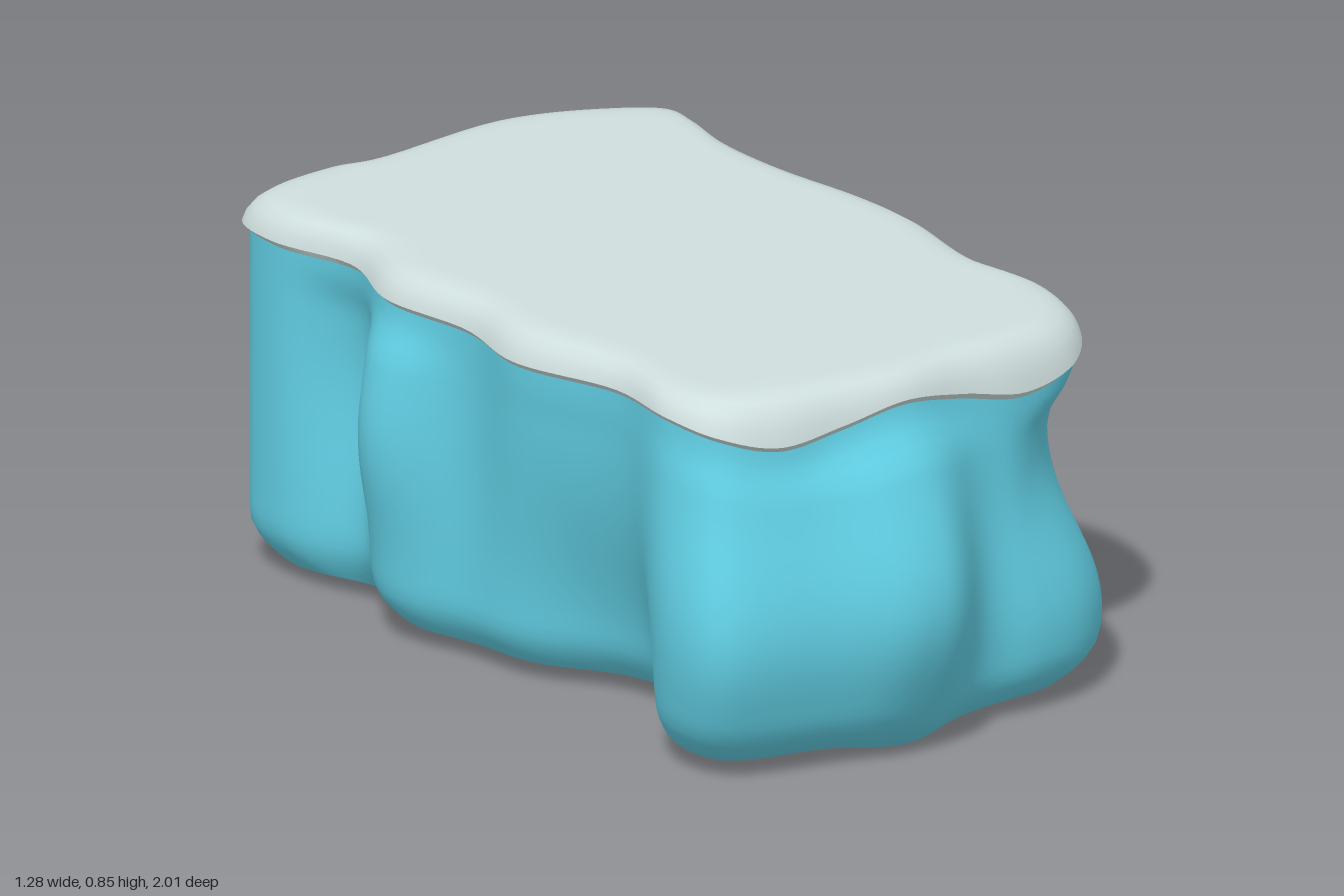
import * as THREE from 'three';

const COLS = 200;

// Rim of the snow cap: x, y, z, running round from the back
const RIM = [
  [-0.53, 0.78, -0.91], [-0.32, 0.79, -0.955], [-0.2, 0.79, -0.94], [0.19, 0.79, -0.975], [0.42, 0.785, -0.9],
  [0.53, 0.78, -0.82], [0.53, 0.78, -0.73], [0.505, 0.775, -0.58], [0.51, 0.78, -0.38], [0.55, 0.79, -0.12],
  [0.555, 0.8, 0.05], [0.515, 0.81, 0.32], [0.545, 0.81, 0.53], [0.51, 0.785, 0.7], [0.43, 0.755, 0.785],
  [0.28, 0.735, 0.82], [0.12, 0.765, 0.815], [-0.04, 0.79, 0.83], [-0.2, 0.765, 0.825], [-0.36, 0.745, 0.81],
  [-0.48, 0.775, 0.75], [-0.525, 0.795, 0.63], [-0.505, 0.79, 0.42], [-0.57, 0.78, 0.13], [-0.545, 0.785, -0.07],
  [-0.577, 0.785, -0.32], [-0.515, 0.785, -0.53], [-0.57, 0.785, -0.75],
].map((p) => new THREE.Vector3(...p));

// Bulges and hollows of the ice: centre x, y, z, push x, z, width, height
const LUMPS = [
  [-0.08, 0.36, 0.82, 0, 0.18, 0.19, 0.32],
  [-0.44, 0.32, 0.8, -0.03, 0.095, 0.22, 0.27],
  [0.32, 0.2, 0.8, 0.02, 0.055, 0.22, 0.22],
  [0.47, 0.54, 0.75, -0.06, -0.03, 0.17, 0.2],
  [-0.53, 0.32, 0.7, -0.055, 0.02, 0.18, 0.3],
  [0.53, 0.17, 0.64, 0.055, 0, 0.16, 0.2],
  [0.53, 0.31, 0.18, 0.115, 0, 0.13, 0.26],
  [0.55, 0.4, 0.02, -0.02, 0, 0.06, 0.35],
  [0.53, 0.46, -0.2, 0.095, 0, 0.16, 0.3],
  [0.51, 0.4, -0.48, -0.015, 0, 0.1, 0.4],
  [0.53, 0.1, -0.62, 0.03, 0, 0.07, 0.1],
  [-0.57, 0.48, -0.31, -0.075, 0, 0.13, 0.26],
  [-0.57, 0.1, -0.32, -0.015, 0, 0.12, 0.16],
  [-0.52, 0.05, 0.28, 0.15, 0, 0.22, 0.38],
  [-0.52, 0.5, -0.58, 0.045, 0, 0.11, 0.25],
  [0.04, 0.35, -0.96, 0, -0.045, 0.25, 0.42],
  [0.3, 0.47, -0.94, 0, 0.075, 0.12, 0.18],
  [-0.32, 0.4, -0.95, 0, 0.02, 0.1, 0.35],
];

// Dips of the lower edge: x, z, depth
const DIPS = [[0, 0.82, 0.04], [-0.48, 0.78, 0.012], [0.48, 0.76, 0.02], [0.52, 0.22, 0.02], [-0.5, -0.9, 0.02], [0.5, -0.88, 0.015]];

const curve = new THREE.CatmullRomCurve3(RIM, true, 'centripetal');
const outline = Array.from({ length: COLS }, (_, i) => curve.getPoint(i / COLS));

const inset = (p, d, y) => new THREE.Vector3(p.x * (1 - d / 0.55), y, p.z * (1 - d / 0.88));

// Closed rings stacked upwards, joined into a smooth skin
function loft(rows) {
  const index = [];
  for (let r = 0; r < rows.length - 1; r++) {
    for (let i = 0; i < COLS; i++) {
      const a = r * COLS + i, b = r * COLS + (i + 1) % COLS;
      const c = b + COLS, d = a + COLS;
      index.push(a, d, c, a, c, b);
    }
  }
  const geometry = new THREE.BufferGeometry().setFromPoints(rows.flat());
  geometry.setIndex(index);
  geometry.computeVertexNormals();
  return geometry;
}

// Point on the ice wall at height fraction t
function icePoint(rim, t) {
  let floor = 0.043;
  for (const [x, z, depth] of DIPS) {
    floor -= depth * Math.exp(-(((rim.x - x) / 0.2) ** 2) - ((rim.z - z) / 0.15) ** 2);
  }
  const y = THREE.MathUtils.lerp(floor, rim.y - 0.012, t);
  const round = 0.055 * Math.max(0, 1 - t / 0.14) ** 2;
  const p = inset(rim, 0.012 + round, y);
  const fade = 1 - THREE.MathUtils.smoothstep(t, 0.84, 1);
  for (const [x, ly, z, dx, dz, w, h] of LUMPS) {
    const along = Math.hypot(rim.x - x, rim.z - z) / w;
    const k = fade * Math.exp(-(along ** 2.6) - ((y - ly) / h) ** 2);
    p.x += dx * k;
    p.z += dz * k;
  }
  return p;
}

export function createModel() {
  const group = new THREE.Group();
  const ice = new THREE.MeshStandardMaterial({ name: 'ice blue', color: 0x61cee3 });
  const snow = new THREE.MeshStandardMaterial({ name: 'snow white', color: 0xcfdfde });
  const add = (name, rows, material) => {
    const mesh = new THREE.Mesh(loft(rows), material);
    mesh.name = name;
    group.add(mesh);
  };

  // Lumpy ice walls
  const heights = [0, 0.02, 0.045, 0.075, 0.11];
  for (let i = 0; i <= 24; i++) heights.push(0.15 + 0.85 * i / 24);
  const walls = heights.map((t) => outline.map((p) => icePoint(p, t)));
  add('iceBlock', walls, ice);

  // Flat underside, closing in to the middle
  const base = [0, 0.5, 0.8, 1].map((s) => walls[0].map((p) =>
    new THREE.Vector3(p.x * s, THREE.MathUtils.lerp(0.035, p.y, s * s), p.z * s)));
  add('iceUnderside', base, ice);

  // Thin crisp bevel under the snow
  const lip = [[0.016, -0.018], [0, 0]].map(([d, dy]) => outline.map((p) => inset(p, d, p.y + dy)));
  add('snowLip', lip, snow);

  // Rounded snow layer with a level top
  const profile = [[0, 0], [0.006, 0.3], [0.018, 0.6], [0.038, 0.86], [0.065, 0.97], [0.1, 1], [0.3, 1]];
  const cap = profile.map(([d, t]) =>
    outline.map((p) => inset(p, d, THREE.MathUtils.lerp(p.y, 0.85, t))));
  cap.push(outline.map(() => new THREE.Vector3(0, 0.85, 0)));
  add('snowCap', cap, snow);

  return group;
}
